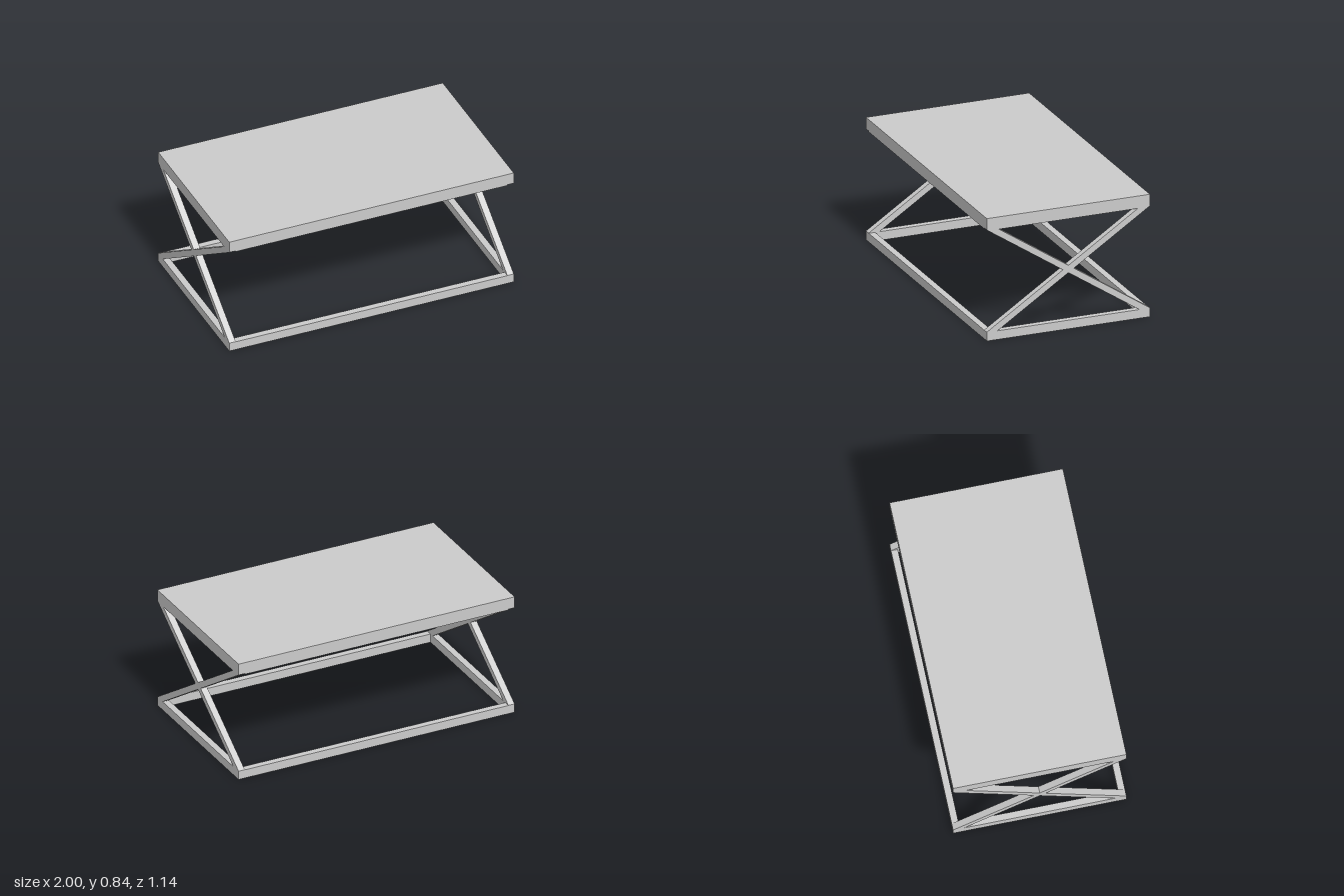
import * as THREE from 'three';

const W = 1, D = 0.57;           // half width and half depth
const BAR = 0.045;               // thickness of the frame bars
const LOW = 0.06, RAIL = 0.758, TOP = 0.81, H = 0.843;
const MID = 0.4125, HALF = 0.025, SLOPE = 0.66; // crossing legs

const material = new THREE.MeshStandardMaterial({ color: 0xcccccc, flatShading: true });

function add(group, name, geometry, x, y, z) {
  const mesh = new THREE.Mesh(geometry, material);
  mesh.name = name;
  mesh.position.set(x, y, z);
  group.add(mesh);
}

const points = (list) => list.map(([z, y]) => new THREE.Vector2(z, y));

// One end frame: bottom bar, crossed legs and top bar in one outline
function sideFrameGeometry() {
  const waist = HALF / SLOPE;
  const legLow = MID + HALF - SLOPE * D, legHigh = MID - HALF + SLOPE * D;
  const shape = new THREE.Shape(points([
    [-D, 0], [D, 0], [D, legLow], [waist, MID], [D, legHigh], [D, TOP],
    [-D, TOP], [-D, legHigh], [-waist, MID], [-D, legLow],
  ]));
  const zHigh = (RAIL - MID - HALF) / SLOPE, zLow = (MID - HALF - LOW) / SLOPE;
  shape.holes.push(
    new THREE.Path(points([[0, MID + HALF], [-zHigh, RAIL], [zHigh, RAIL]])),
    new THREE.Path(points([[0, MID - HALF], [zLow, LOW], [-zLow, LOW]])),
  );
  const geometry = new THREE.ExtrudeGeometry(shape, { depth: BAR, bevelEnabled: false });
  geometry.rotateY(-Math.PI / 2);
  geometry.translate(BAR / 2, 0, 0);
  return geometry;
}

export function createModel() {
  const group = new THREE.Group();
  group.name = 'table';

  // Table top
  add(group, 'tableTop', new THREE.BoxGeometry(2 * W, H - TOP, 2 * D), 0, (H + TOP) / 2, 0);

  // Crossed-leg end frames
  const side = sideFrameGeometry();
  add(group, 'leftSideFrame', side, W - BAR / 2, 0, 0);
  add(group, 'rightSideFrame', side, -W + BAR / 2, 0, 0);

  // Long rails joining the end frames, top and bottom
  const length = 2 * (W - BAR);
  for (const [name, s] of [['front', 1], ['back', -1]]) {
    const z = s * (D - BAR / 2);
    add(group, name + 'LowerRail', new THREE.BoxGeometry(length, LOW, BAR), 0, LOW / 2, z);
    add(group, name + 'UpperRail', new THREE.BoxGeometry(length, TOP - RAIL, BAR), 0, (TOP + RAIL) / 2, z);
  }
  return group;
}
